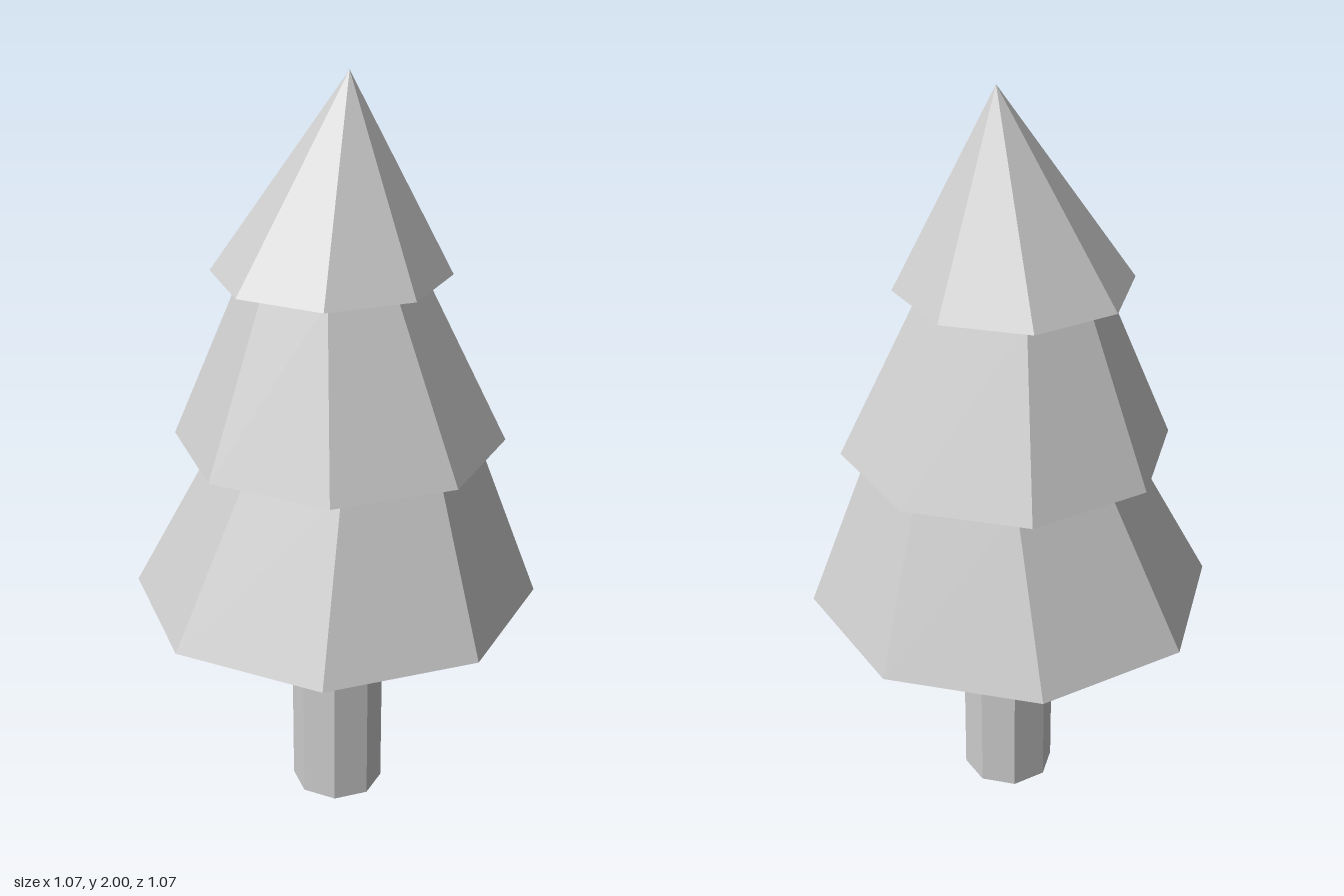
import * as THREE from 'three';

const SIDES = 8;

// Skin an octagonal loft through rings [centreX, y, centreZ, radius], listed bottom to top.
function loft(rings) {
  const pos = [];
  const corner = ([x, y, z, r], k) => {
    const a = (k % SIDES) * Math.PI * 2 / SIDES;
    return [x + r * Math.sin(a), y, z + r * Math.cos(a)];
  };
  for (let i = 0; i < rings.length - 1; i++) {
    const low = rings[i], high = rings[i + 1];
    for (let k = 0; k < SIDES; k++) {
      const a = corner(low, k), b = corner(low, k + 1);
      const c = corner(high, k + 1), d = corner(high, k);
      // rings of zero radius are points, so one triangle is enough there
      if (low[3] > 0) pos.push(...a, ...b, ...c);
      if (high[3] > 0) pos.push(...a, ...c, ...d);
    }
  }
  const geometry = new THREE.BufferGeometry();
  geometry.setAttribute('position', new THREE.Float32BufferAttribute(pos, 3));
  geometry.computeVertexNormals();
  return geometry;
}

export function createModel() {
  const tree = new THREE.Group();
  tree.name = 'pineTree';

  const addPart = (name, rings, side) => {
    const material = new THREE.MeshStandardMaterial({ color: 0xcccccc, flatShading: true, side });
    const mesh = new THREE.Mesh(loft(rings), material);
    mesh.name = name;
    tree.add(mesh);
  };

  // Trunk: open octagonal tube, slightly off centre
  addPart('trunk', [
    [0.007, 0, 0.006, 0.124],
    [0.007, 0.615, 0.006, 0.124],
  ], THREE.DoubleSide);

  // Foliage: three stepped tiers with flat undersides, swaying a little in x
  addPart('foliage', [
    [0, 0.615, 0, 0],
    [0, 0.615, 0, 0.537],
    [0.035, 1.055, 0, 0.336],
    [0.012, 1.055, 0, 0.43],
    [-0.004, 1.5, 0, 0.228],
    [-0.009, 1.5, 0, 0.304],
    [0.035, 2, 0, 0],
  ], THREE.FrontSide);

  return tree;
}
